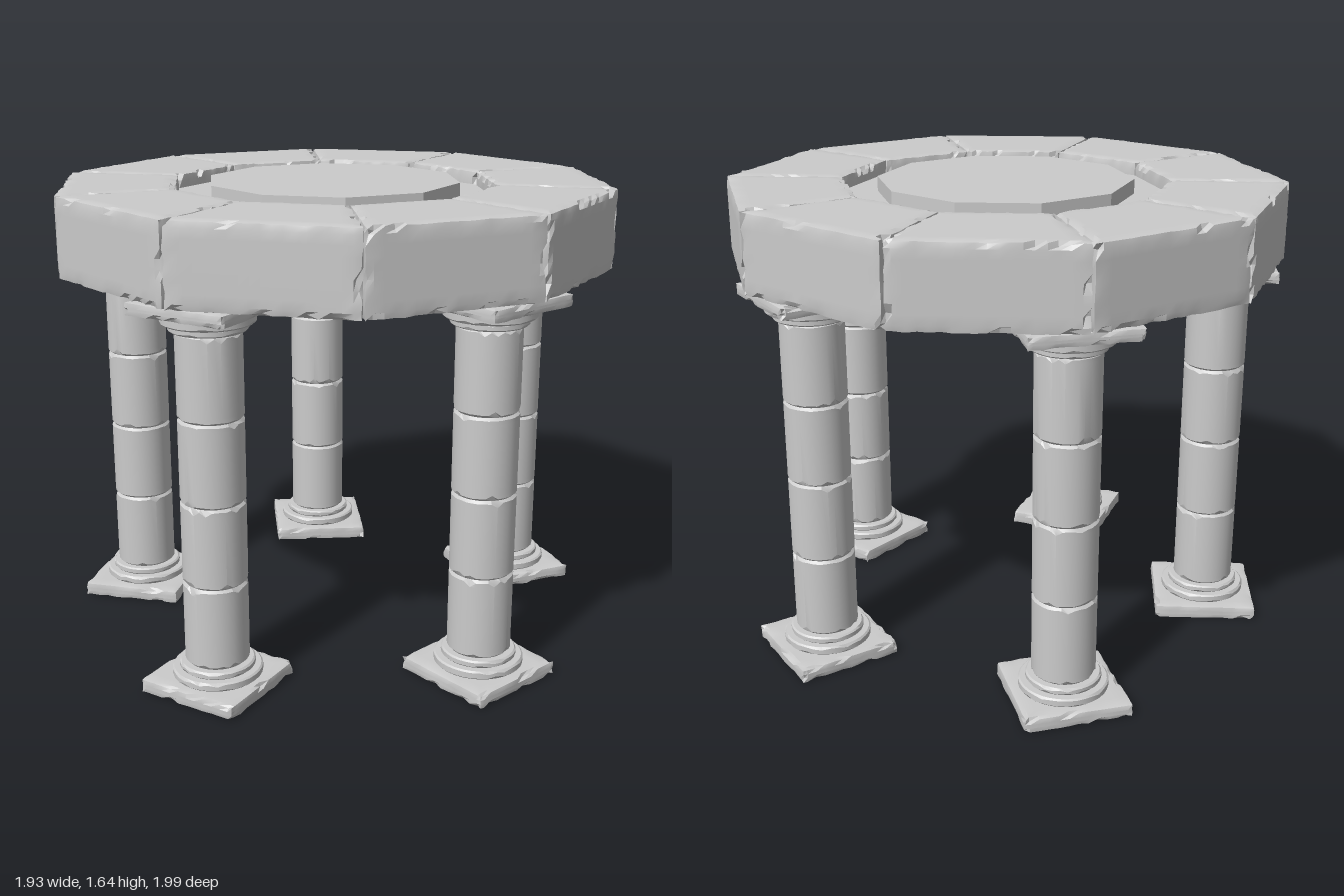
import * as THREE from 'three';
import { toCreasedNormals } from 'three/addons/utils/BufferGeometryUtils.js';

const stone = new THREE.MeshStandardMaterial({ color: 0xcccccc });
const thinStone = new THREE.MeshStandardMaterial({ color: 0xcccccc, side: THREE.DoubleSide });

// Repeatable 0..1 noise
const hash = (a, b, c) => {
  const s = Math.sin(a * 127.1 + b * 311.7 + c * 74.7) * 43758.5453;
  return s - Math.floor(s);
};
// Mostly light wear, now and then a deeper chip
const wear = (h, small, chip) => (h < 0.82 ? small * (0.4 + h) : chip * (0.4 + (h - 0.82) * 3.3));

// Block whose edges are chamfered and chipped
function wornBlock(size, segs, inset, small, chip, seed) {
  const geo = new THREE.BoxGeometry(...size, ...segs);
  const pos = geo.attributes.position;
  for (let i = 0; i < pos.count; i++) {
    const p = [pos.getX(i), pos.getY(i), pos.getZ(i)];
    const k = p.map((v, a) => Math.round((v / size[a] + 0.5) * segs[a]));
    const onEdge = k.map((v, a) => v === 0 || v === segs[a]);
    const amount = wear(hash(k[0] + seed * 17, k[1] + seed * 5, k[2]), small, chip);
    const isEdge = onEdge.filter(Boolean).length > 1;
    for (let a = 0; a < 3; a++) {
      const half = size[a] / 2;
      if (onEdge[a]) p[a] = Math.sign(p[a]) * (half - (isEdge ? amount : 0));
      else p[a] = -half + inset + ((k[a] - 1) / (segs[a] - 2)) * (size[a] - 2 * inset);
    }
    pos.setXYZ(i, ...p);
  }
  return geo;
}

// Round course with worn upper and lower rims
function wornDrum(r, y0, y1, bevel, band, seed) {
  const sides = 32;
  const profile = [
    [0, y0], [r - bevel, y0], [r, y0 + bevel * 0.6], [r, y0 + band],
    [r, y1 - band], [r, y1 - bevel * 0.6], [r - bevel, y1], [0, y1],
  ].map(([x, y]) => new THREE.Vector2(x, y));
  const geo = new THREE.LatheGeometry(profile, sides);
  const pos = geo.attributes.position;
  for (let n = 0; n < pos.count; n++) {
    const i = Math.floor(n / 8) % sides, j = n % 8;
    if (j !== 2 && j !== 5) continue;
    const drop = wear(hash(i, j, seed), band * 0.15, band * 0.85);
    pos.setY(n, pos.getY(n) + (j === 2 ? drop : -drop));
  }
  return geo;
}

function add(parent, name, geo, material = stone) {
  const mesh = new THREE.Mesh(toCreasedNormals(geo, 0.4), material);
  mesh.name = name;
  parent.add(mesh);
  return mesh;
}

function makeColumn(seed) {
  const column = new THREE.Group();
  column.name = 'column';
  // Square slabs at foot and head
  const slab = (name, y0, y1, s) => {
    const geo = wornBlock([0.375, y1 - y0, 0.375], [12, 3, 12], 0.018, 0.004, 0.015, s);
    add(column, name, geo).position.y = (y0 + y1) / 2;
  };
  slab('plinth', 0, 0.05, seed);
  slab('abacus', 1.315, 1.36, seed + 0.5);
  // Stepped rings
  [[0.155, 0.05, 0.08], [0.13, 0.08, 0.105]].forEach(([r, a, b], n) => {
    add(column, 'baseRing', wornDrum(r, a, b, 0.006, 0.011, seed + n));
    add(column, 'capitalRing', wornDrum(r, 1.363 - b, 1.363 - a + 0.003, 0.006, 0.011, seed + n + 7));
  });
  // Four stacked shaft drums
  const joints = [0.105, 0.395, 0.68, 0.967, 1.258];
  for (let n = 0; n < 4; n++) {
    add(column, 'shaftDrum', wornDrum(0.11, joints[n], joints[n + 1], 0.009, 0.024, seed * 9 + n));
  }
  return column;
}

export function createModel() {
  const model = new THREE.Group();

  // Five columns in a circle, one at the back
  for (let n = 0; n < 5; n++) {
    const angle = Math.PI + (n * 2 * Math.PI) / 5;
    const column = makeColumn(n + 1);
    column.position.set(0.77 * Math.sin(angle), 0, 0.77 * Math.cos(angle));
    column.rotation.y = angle;
    model.add(column);
  }

  // Ten wedge stones forming the decagonal ring
  const ring = new THREE.Group();
  ring.name = 'stoneRing';
  model.add(ring);
  const halfAngle = Math.PI / 10;
  const inner = 0.58 * Math.cos(halfAngle), outer = Math.cos(halfAngle);
  const size = [0.48, 0.28, outer - inner];
  for (let n = 0; n < 10; n++) {
    const geo = wornBlock(size, [18, 9, 14], 0.024, 0.005, 0.019, n + 11);
    const pos = geo.attributes.position;
    for (let i = 0; i < pos.count; i++) {
      const z = (inner + outer) / 2 + pos.getZ(i);
      pos.setX(i, (pos.getX(i) / size[0]) * 2 * z * Math.tan(halfAngle));
      pos.setZ(i, z);
    }
    const wedge = add(ring, 'ringStone', geo);
    wedge.position.y = 1.5;
    wedge.rotation.y = halfAngle * (2 * n + 1);
  }

  // Thin stepped ceiling panel closing the ring
  const panel = [[0.58, 1.59], [0.455, 1.59], [0.455, 1.642], [0, 1.642]]
    .map(([x, y]) => new THREE.Vector2(x, y));
  add(model, 'centrePanel', new THREE.LatheGeometry(panel, 10), thinStone);

  return model;
}
